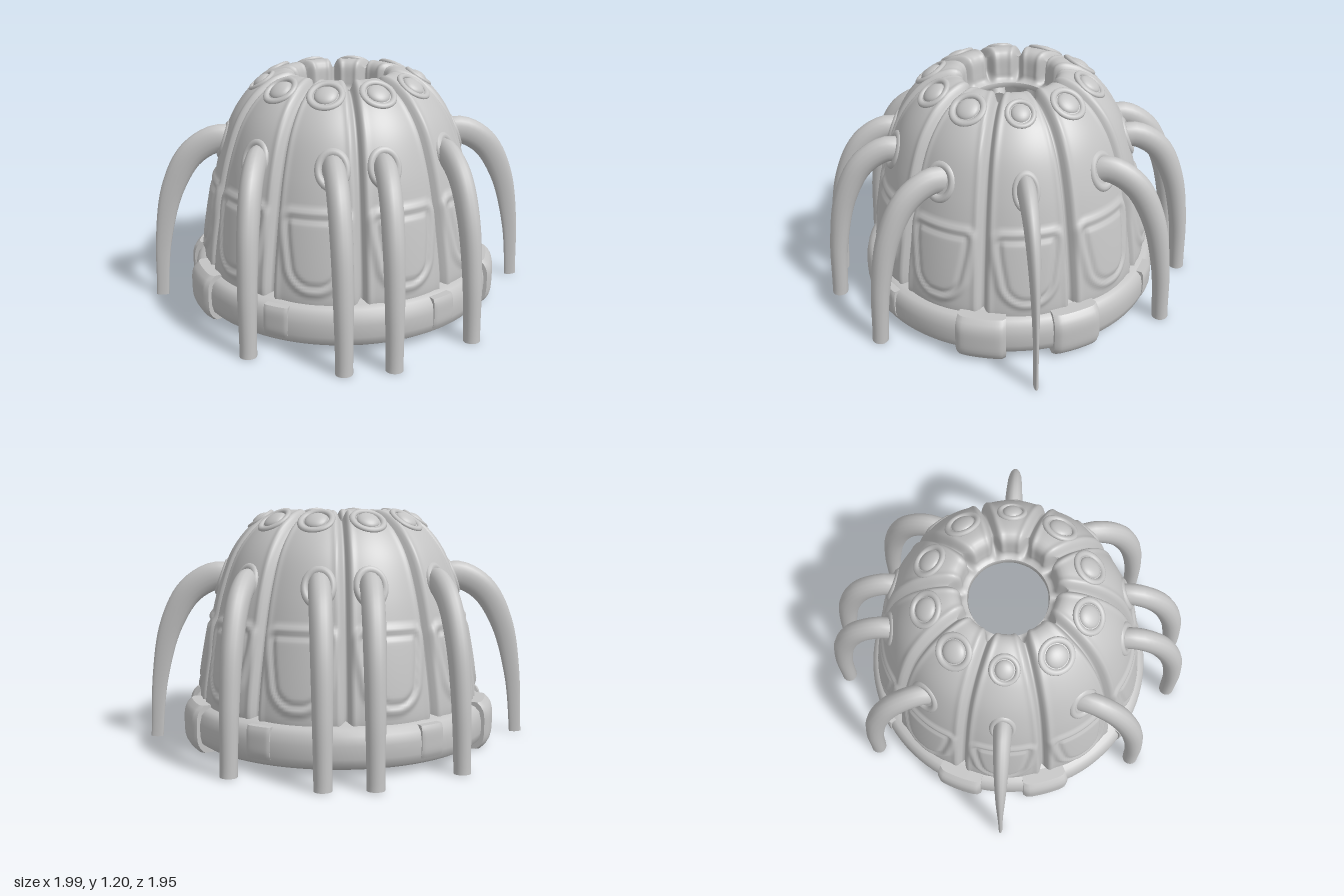
import * as THREE from 'three';
import { mergeVertices } from 'three/addons/utils/BufferGeometryUtils.js';

const grey = new THREE.MeshStandardMaterial({ color: 0xc4c4c4 });
grey.name = 'light grey';

const GORES = 10;
const GORE = (Math.PI * 2) / GORES;
const deg = THREE.MathUtils.degToRad;
const smooth = THREE.MathUtils.smoothstep;
const lerp = THREE.MathUtils.lerp;
const bell = (x, w) => Math.exp(-((x / w) ** 2));

function add(parent, name, geometry) {
  const mesh = new THREE.Mesh(geometry, grey);
  mesh.name = name;
  parent.add(mesh);
  return mesh;
}

// Revolve a profile and push every vertex along the profile normal by a relief rule
function reliefLathe(points, rows, cols, relief) {
  const curve = new THREE.SplineCurve(points.map(([r, y]) => new THREE.Vector2(r, y)));
  const pos = [], index = [];
  for (let i = 0; i <= rows; i++) {
    const t = i / rows;
    const p = curve.getPointAt(t), n = curve.getTangentAt(t);
    for (let j = 0; j < cols; j++) {
      const a = (j / cols) * Math.PI * 2;
      const local = (a % GORE) - GORE / 2; // angle from the middle of the gore
      const h = relief(t, p.x, p.y, local);
      const r = Math.max(0.195, p.x + n.y * h), y = p.y - n.x * h;
      pos.push(r * Math.sin(a), y, r * Math.cos(a));
      if (i < rows) {
        const k = (j + 1) % cols, b = i * cols, c = b + cols;
        index.push(b + j, b + k, c + k, b + j, c + k, c + j);
      }
    }
  }
  const g = new THREE.BufferGeometry();
  g.setAttribute('position', new THREE.Float32BufferAttribute(pos, 3));
  g.setIndex(index);
  g.computeVertexNormals();
  return g;
}

// Signed distance to the window on each gore, rounder and narrower towards the bottom
function windowDistance(s, y) {
  const corner = lerp(0.13, 0.06, smooth(y, 0.4, 0.54));
  const half = 0.14 + 0.036 * smooth(y, 0.26, 0.6);
  const dx = Math.abs(s) - half + corner, dy = Math.abs(y - 0.47) - 0.2 + corner;
  return Math.hypot(Math.max(dx, 0), Math.max(dy, 0)) + Math.min(Math.max(dx, dy), 0) - corner;
}

function outerRelief(t, r, y, local) {
  const seam = r * (GORE / 2 - Math.abs(local));
  let h = 0.012 * Math.cos((local / GORE) * Math.PI) - 0.04 * bell(seam, 0.016);
  h += 0.006 * bell(seam - 0.035, 0.014);
  if (y < 0.8) {
    const d = windowDistance(r * local, y);
    h += 0.014 * (1 - smooth(d, -0.02, 0.015)) - 0.012 * bell(d + 0.045, 0.013);
  }
  return h * (1 - smooth(t, 0.95, 1));
}

function innerRelief(t, r, y, local) {
  const seam = r * (GORE / 2 - Math.abs(local));
  let h = 0.025 * bell(seam, 0.025);
  if (y < 0.8) h -= 0.01 * (1 - smooth(windowDistance(r * local, y), -0.02, 0.015));
  return h * smooth(t, 0, 0.15);
}

// Arm bending from the dome down to the ground; its width across the bend is set by flat0..flat1
function armGeometry(base, tip, r0, r1, flat0, flat1) {
  const steps = [[-0.25, 0.8], [-0.05, 0.845], [0.16, 0.855], [0.5, 0.78], [0.77, 0.6], [0.935, 0.32], [1, 0]];
  const curve = new THREE.CatmullRomCurve3(steps.map(([k, y]) => new THREE.Vector3(
    base[0] + (tip[0] - base[0]) * k, y, base[1] + (tip[1] - base[1]) * k)));
  const across = new THREE.Vector3(tip[1] - base[1], 0, base[0] - tip[0]).normalize();
  const SEG = 36, SIDES = 16;
  let g = new THREE.TubeGeometry(curve, SEG, 1, SIDES);
  const pos = g.attributes.position, v = new THREE.Vector3();
  for (let i = 0; i < pos.count; i++) {
    const t = Math.floor(i / (SIDES + 1)) / SEG;
    const p = curve.getPointAt(t);
    const r = lerp(r0, r1, smooth(t, 0.1, 1));
    const flat = lerp(flat0, flat1, Math.min(1, t * 1.3));
    v.fromBufferAttribute(pos, i).sub(p);
    v.addScaledVector(across, (flat - 1) * v.dot(across)).multiplyScalar(r).add(p);
    pos.setXYZ(i, v.x, Math.max(0, v.y), v.z);
  }
  g.deleteAttribute('uv');
  g.deleteAttribute('normal');
  g = mergeVertices(g, 1e-5);
  g.computeVertexNormals();
  return g;
}

// Plate wrapped around the band, its face falling off towards the edges
function curvedPlate(width, height, depth, r, y, round) {
  const g = new THREE.BoxGeometry(width, height, depth, 14, 12, 1);
  const pos = g.attributes.position;
  for (let i = 0; i < pos.count; i++) {
    const px = pos.getX(i), py = pos.getY(i), pz = pos.getZ(i);
    const ex = Math.abs((2 * px) / width) ** 10, ey = Math.abs((2 * py) / height) ** 4;
    const rad = pz > 0 ? r - round * (0.4 * ex + ey) : r - depth;
    const a = px / r;
    pos.setXYZ(i, rad * Math.sin(a), py + y, rad * Math.cos(a));
  }
  g.computeVertexNormals();
  return g;
}

// Group lying on the dome, its +z pointing out of the surface
function onDome(parent, name, angle, r, y, tilt) {
  const g = new THREE.Group();
  g.name = name;
  g.position.set(r * Math.sin(angle), y, r * Math.cos(angle));
  g.rotation.set(-tilt, angle, 0, 'YXZ');
  parent.add(g);
  return g;
}

export function createModel() {
  const model = new THREE.Group();
  model.name = 'ribbedDome';

  // Ribbed shell with an open top
  add(model, 'outerShell', reliefLathe([
    [0.71, 0.19], [0.715, 0.26], [0.697, 0.4], [0.66, 0.6], [0.613, 0.8], [0.55, 0.97],
    [0.47, 1.085], [0.38, 1.155], [0.31, 1.182], [0.265, 1.182], [0.245, 1.155], [0.235, 1.06], [0.2, 1.035],
  ], 100, 400, outerRelief));
  add(model, 'innerShell', reliefLathe([
    [0.2, 1.035], [0.2, 1.0], [0.25, 1.03], [0.36, 1.04], [0.47, 0.97], [0.55, 0.8],
    [0.6, 0.6], [0.635, 0.4], [0.655, 0.2], [0.67, 0.1],
  ], 50, 200, innerRelief));

  // Base band, its top sloping in under the shell
  const band = [[0.65, 0.25], [0.675, 0.16], [0.69, 0.05], [0.705, 0.035], [0.75, 0.035], [0.772, 0.05],
    [0.782, 0.09], [0.782, 0.15], [0.772, 0.195], [0.75, 0.218], [0.72, 0.23], [0.65, 0.25]];
  add(model, 'baseBand', new THREE.LatheGeometry(band.map(([r, y]) => new THREE.Vector2(r, y)), 96));

  // Pads and small plates on the band
  for (const side of [90, 270]) {
    for (const s of [-1, 1]) {
      add(model, 'sidePad', curvedPlate(0.255, 0.24, 0.11, 0.815, 0.122, 0.04)).rotation.y = deg(side + s * 17.5);
      add(model, 'bandPlate', curvedPlate(0.125, 0.155, 0.06, 0.792, 0.143, 0.012)).rotation.y = deg(side + s * 59);
    }
  }

  // Domed buttons around the opening
  for (let i = 0; i < GORES; i++) {
    const angle = (i + 0.5) * GORE;
    const isSide = Math.abs(Math.cos(angle)) < 0.01;
    const button = onDome(model, 'button', angle, 0.402, 1.148, deg(56));
    button.scale.set(isSide ? 0.8 : 1, isSide ? 0.85 : 1, 1);
    add(button, 'buttonRing', new THREE.TorusGeometry(0.077, 0.016, 10, 32)).scale.z = 0.8;
    add(button, 'buttonCap', new THREE.SphereGeometry(0.057, 24, 14)).scale.z = 0.45;
  }

  // Arms with socket rings, mirrored left to right and front to back
  const corners = [[1, 1], [-1, 1], [1, -1], [-1, -1]];
  const arms = [
    { base: [0.118, 0.575], tip: [0.115, 0.935], r: [0.066, 0.041], flat: [0.75, 1], sides: corners },
    { base: [0.445, 0.37], tip: [0.535, 0.72], r: [0.068, 0.041], flat: [0.72, 1], sides: corners },
    { base: [0.58, 0], tip: [0.965, 0], r: [0.074, 0.032], flat: [0.66, 0.35], sides: corners.slice(0, 2) },
  ];
  for (const { base, tip, r, flat, sides } of arms) {
    for (const [sx, sz] of sides) {
      const b = [base[0] * sx, base[1] * sz], e = [tip[0] * sx, tip[1] * sz];
      add(model, 'arm', armGeometry(b, e, ...r, ...flat));
      const cap = add(model, 'armEnd', new THREE.CircleGeometry(r[1], 16));
      cap.rotation.x = Math.PI / 2;
      cap.position.set(e[0], 0.001, e[1]);
      cap.scale.y = flat[1];
      const socket = onDome(model, 'armSocket', Math.atan2(b[0], b[1]), 0.598, 0.85, deg(20));
      socket.scale.set(flat[1] < 1 ? 0.75 : 0.95, 1.15, 1);
      add(socket, 'socketRing', new THREE.TorusGeometry(0.07, 0.02, 10, 32));
    }
  }
  return model;
}
